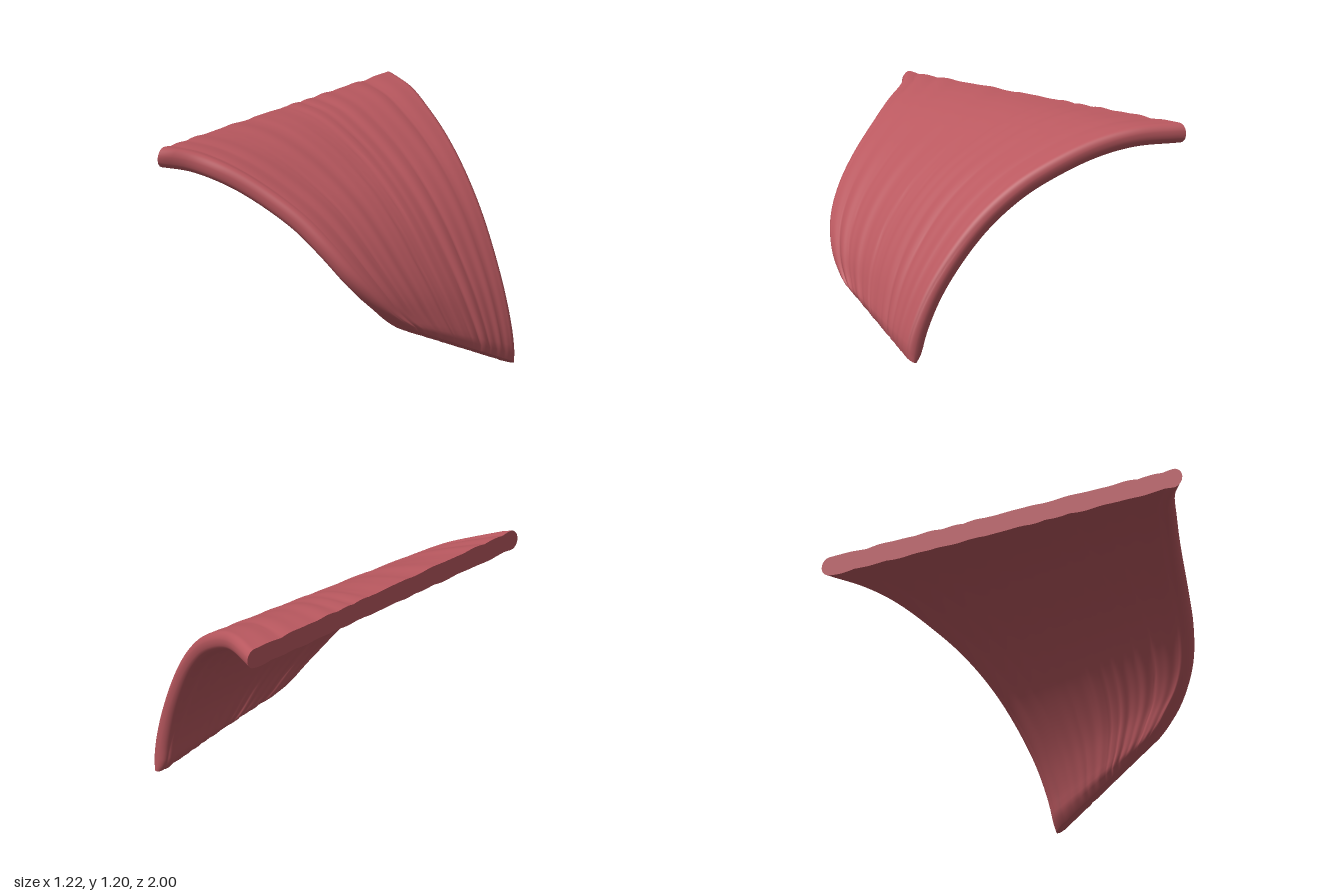
import * as THREE from 'three';

const curve = (pts) => new THREE.CatmullRomCurve3(pts.map((p) => new THREE.Vector3(...p)), false, 'centripetal');

// Middle lines of the two long edges, from the flat cut end to the lower end
const frontEdge = curve([[-0.61, 1.165, 1], [-0.5, 1.135, 0.9], [-0.35, 1.08, 0.83], [-0.2, 1.0, 0.77], [0, 0.865, 0.705],
  [0.14, 0.73, 0.66], [0.24, 0.6, 0.605], [0.305, 0.49, 0.53], [0.35, 0.385, 0.43], [0.39, 0.31, 0.33]]);
const backEdge = curve([[-0.61, 1.1, -1], [-0.42, 1.09, -0.89], [-0.26, 1.045, -0.79], [-0.08, 0.96, -0.69],
  [0.1, 0.84, -0.585], [0.28, 0.66, -0.485], [0.46, 0.385, -0.39], [0.55, 0.17, -0.345], [0.585, 0.015, -0.325]]);

const ROWS = 48, COLS = 150, HALF = 0.05;

// Quarter-circle rise from 0 to 1, clamped at both ends
const quarterRound = (t) => {
  const k = 1 - Math.min(1, Math.max(0, t));
  return Math.sqrt(Math.max(0, 1 - k * k));
};

// Uneven fibre relief running along the sheet, with narrow creases
function relief(u, v, side) {
  const w = v + 0.012 * Math.sin(4 * u + 9 * v + side) + 0.02 * u * Math.sin(7 * v + side * 2);
  const soft = Math.sin(w * 47 + side) * 0.5 + Math.sin(w * 83 + 2 * u + side * 3) * 0.4;
  const crease = Math.sqrt(Math.abs(Math.sin(w * 36 + 1.5 * Math.sin(w * 11 + side) + 0.8 * u))) - 0.8;
  return 0.0028 * soft + 0.006 * crease * (0.6 + 0.4 * Math.sin(5 * u + 23 * v));
}

function makeGeometry(pos, index) {
  const g = new THREE.BufferGeometry();
  g.setAttribute('position', new THREE.Float32BufferAttribute(pos, 3));
  g.setIndex(index);
  g.computeVertexNormals();
  return g;
}

function createSheetGeometries() {
  const pos = [], index = [];
  const at = (s, j, i) => (s * (ROWS + 1) + i) * (COLS + 1) + j;
  const along = new THREE.Vector3(), across = new THREE.Vector3(), p = new THREE.Vector3();

  // Upper skin (s = 0) and under skin (s = 1), meeting in rounded edges
  for (let s = 0; s < 2; s++) {
    for (let i = 0; i <= ROWS; i++) {
      const u = i / ROWS;
      const f = frontEdge.getPointAt(u), b = backEdge.getPointAt(u);
      const tf = frontEdge.getTangentAt(u), tb = backEdge.getTangentAt(u);
      across.subVectors(b, f);
      const width = across.length();
      const endRound = 0.55 + 0.45 * quarterRound((1 - u) / 0.05);
      for (let j = 0; j <= COLS; j++) {
        const t = j / COLS;
        const v = 0.2 * t + 0.8 * (0.5 - 0.5 * Math.cos(Math.PI * t));
        const h = quarterRound(Math.min(v, 1 - v) * width / HALF) * (HALF * endRound + relief(u, v, s * 1.7));
        const normal = along.lerpVectors(tf, tb, v).cross(across).normalize();
        p.lerpVectors(f, b, v).addScaledVector(normal, s ? -h : h);
        if (i === 0) p.x = -0.612;
        pos.push(p.x, Math.max(0, p.y), p.z);
      }
    }
  }

  // The under skin shares the seam vertices so that the rounded edges stay smooth
  const under = (j, i) => at(j === 0 || j === COLS ? 0 : 1, j, i);
  for (let i = 0; i < ROWS; i++) {
    for (let j = 0; j < COLS; j++) {
      const [a, b, c, d] = [at(0, j, i), at(0, j, i + 1), at(0, j + 1, i + 1), at(0, j + 1, i)];
      index.push(a, b, c, a, c, d);
      const [e, f, g, h] = [under(j, i), under(j, i + 1), under(j + 1, i + 1), under(j + 1, i)];
      index.push(e, g, f, e, h, g);
    }
  }

  // End faces, kept separate for a crisp rim
  const cap = (row, facesOut) => {
    const capPos = [], capIndex = [];
    for (let j = 0; j <= COLS; j++) {
      for (let s = 0; s < 2; s++) {
        const k = at(s, j, row) * 3;
        capPos.push(pos[k], pos[k + 1], pos[k + 2]);
      }
    }
    for (let a = 0; a < 2 * COLS; a += 2) {
      if (facesOut) capIndex.push(a, a + 1, a + 3, a, a + 3, a + 2);
      else capIndex.push(a, a + 3, a + 1, a, a + 2, a + 3);
    }
    return makeGeometry(capPos, capIndex);
  };
  return { fibreSheet: makeGeometry(pos, index), cutEnd: cap(0, false), lowerEnd: cap(ROWS, true) };
}

export function createModel() {
  const group = new THREE.Group();
  group.name = 'muscleSheet';
  const muscleRed = new THREE.MeshStandardMaterial({ color: 0xb9585f });
  muscleRed.name = 'muscle red';
  for (const [name, geometry] of Object.entries(createSheetGeometries())) {
    const mesh = new THREE.Mesh(geometry, muscleRed);
    mesh.name = name;
    group.add(mesh);
  }
  return group;
}
